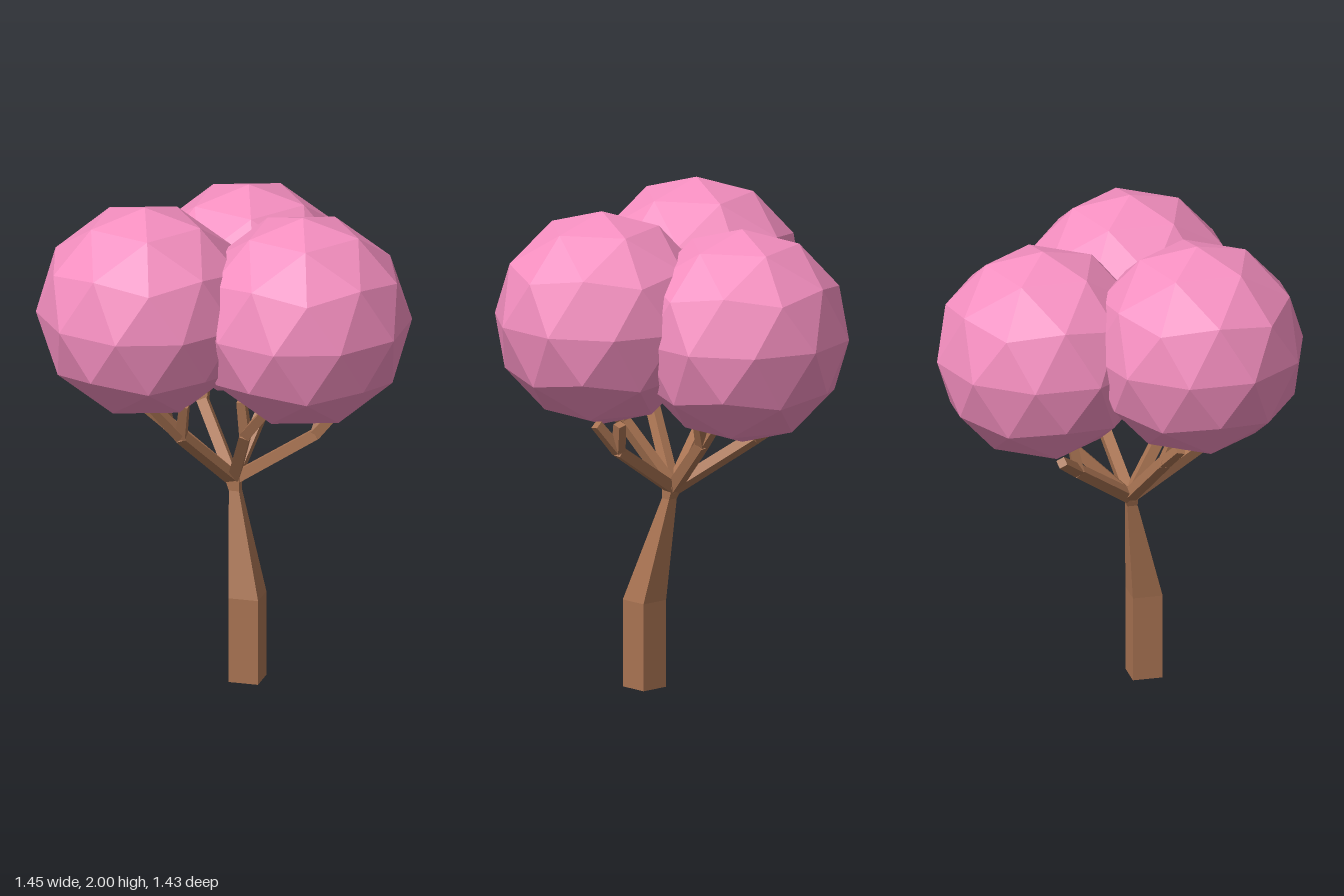
import * as THREE from 'three';

const bark = new THREE.MeshStandardMaterial({ color: 0xa87352, flatShading: true });
const blossom = new THREE.MeshStandardMaterial({ color: 0xf58fc0, flatShading: true });

// Square bar tapering from point a to point b
function limb(name, a, b, r0, r1) {
  const start = new THREE.Vector3(...a), end = new THREE.Vector3(...b);
  const dir = end.clone().sub(start);
  const geo = new THREE.CylinderGeometry(r1, r0, dir.length(), 4);
  geo.rotateY(Math.PI / 4);
  const mesh = new THREE.Mesh(geo, bark);
  mesh.name = name;
  mesh.position.copy(start).add(end).multiplyScalar(0.5);
  mesh.quaternion.setFromUnitVectors(new THREE.Vector3(0, 1, 0), dir.normalize());
  return mesh;
}

// Trunk: square sections [x, y, z, half width], bottom to top
function makeTrunk() {
  const sections = [
    [0.08, 0, 0.16, 0.061],
    [0.08, 0.355, 0.16, 0.061],
    [0.01, 0.77, 0.09, 0.021],
    [0, 0.825, 0.08, 0.03],
  ];
  const last = sections.length - 1;
  const geo = new THREE.CylinderGeometry(Math.SQRT2, Math.SQRT2, last, 4, last).toNonIndexed();
  geo.rotateY(Math.PI / 4);
  const p = geo.attributes.position;
  for (let i = 0; i < p.count; i++) {
    const [x, y, z, half] = sections[Math.round(p.getY(i) + last / 2)];
    p.setXYZ(i, x + p.getX(i) * half, y, z + p.getZ(i) * half);
  }
  geo.computeVertexNormals();
  const mesh = new THREE.Mesh(geo, bark);
  mesh.name = 'trunk';
  return mesh;
}

export function createModel() {
  const tree = new THREE.Group();
  tree.name = 'tree';
  tree.add(makeTrunk());

  // Branches fan out from the trunk top: [fork point, twig tip, twig tip]
  const crown = [0, 0.81, 0.08];
  const branches = [
    [[-0.14, 1.07, 0.35], [-0.11, 1.23, 0.41], [-0.24, 1.22, 0.43]],
    [[0.1, 1.07, 0.26], [0.09, 1.22, 0.28], [0.21, 1.21, 0.32]],
    [[0.33, 1.02, 0.04], [0.43, 1.14, 0.06], [0.36, 1.14, 0.0]],
    [[0.06, 1.04, -0.16], [0.04, 1.16, -0.24], [0.12, 1.16, -0.2]],
    [[-0.2, 1.03, -0.18], [-0.33, 1.13, -0.28], [-0.19, 1.14, -0.2]],
    [[-0.25, 1.05, 0.16], [-0.36, 1.15, 0.2], [-0.26, 1.16, 0.2]],
  ];
  const branchGroup = new THREE.Group();
  branchGroup.name = 'branches';
  for (const [fork, ...tips] of branches) {
    branchGroup.add(limb('branch', crown, fork, 0.032, 0.03));
    for (const tip of tips) branchGroup.add(limb('twig', fork, tip, 0.029, 0.025));
  }
  tree.add(branchGroup);

  // Blossom clumps: faceted balls with one corner pointing straight up
  const ball = new THREE.IcosahedronGeometry(0.434, 1);
  ball.rotateZ(-Math.atan(2 / (1 + Math.sqrt(5))));
  const clumps = [[-0.31, 1.566, 0.28], [0.31, 1.542, 0.16], [-0.04, 1.49, -0.285]];
  for (const [x, y, z] of clumps) {
    const mesh = new THREE.Mesh(ball, blossom);
    mesh.name = 'blossomClump';
    mesh.position.set(x, y, z);
    tree.add(mesh);
  }
  return tree;
}
